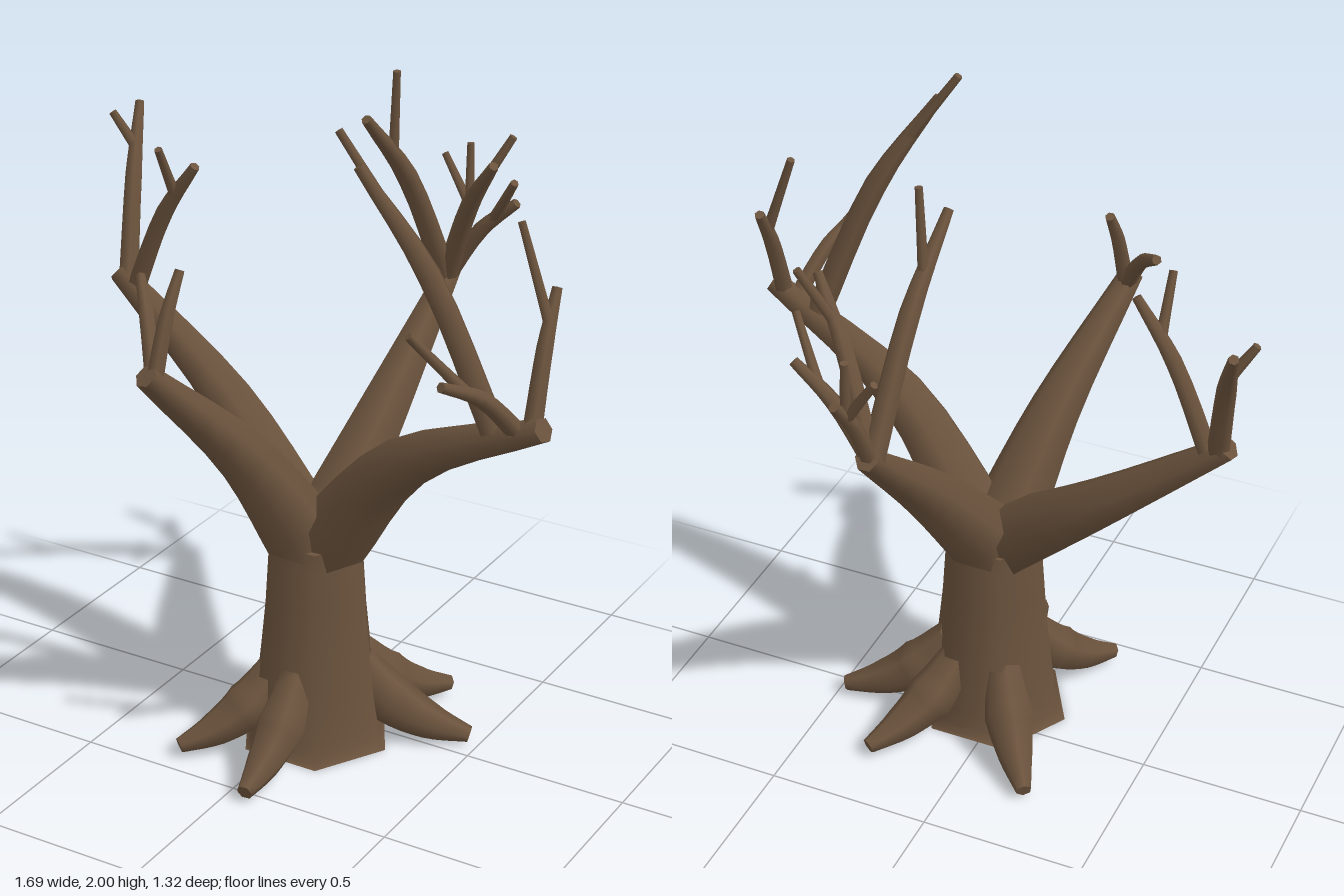
import * as THREE from 'three';

const SIDES = 6;
const vec = p => new THREE.Vector3(...p);

// Tapered limb along a curve through points: smooth sides, flat end caps
function limbGeometry(curve, radii) {
  const pos = [], index = [], spans = radii.length - 1, rows = spans * 4;
  const normal = new THREE.Vector3(1, 0, 0);
  for (let i = 0; i <= rows; i++) {
    const u = i / rows, c = curve.getPoint(u), t = curve.getTangent(u);
    normal.addScaledVector(t, -normal.dot(t)).normalize();
    const side = new THREE.Vector3().crossVectors(t, normal);
    const k = Math.min(Math.floor(u * spans), spans - 1);
    const r = THREE.MathUtils.lerp(radii[k], radii[k + 1], u * spans - k);
    for (let j = 0; j < SIDES; j++) {
      const a = j / SIDES * Math.PI * 2;
      const p = c.clone().addScaledVector(normal, r * Math.cos(a)).addScaledVector(side, r * Math.sin(a));
      pos.push(p.x, p.y, p.z);
    }
  }
  for (let i = 0; i < rows; i++) {
    for (let j = 0; j < SIDES; j++) {
      const a = i * SIDES + j, b = i * SIDES + (j + 1) % SIDES;
      index.push(a, b, b + SIDES, a, b + SIDES, a + SIDES);
    }
  }
  // Caps have their own vertices so the rims stay sharp
  for (const row of [0, rows]) {
    const base = pos.length / 3, from = row * SIDES * 3;
    pos.push(...pos.slice(from, from + SIDES * 3));
    for (let j = 1; j < SIDES - 1; j++) {
      if (row === 0) index.push(base, base + j + 1, base + j);
      else index.push(base, base + j, base + j + 1);
    }
  }
  const g = new THREE.BufferGeometry();
  g.setAttribute('position', new THREE.Float32BufferAttribute(pos, 3));
  g.setIndex(index);
  g.computeVertexNormals();
  return g;
}

export function createModel() {
  const tree = new THREE.Group();
  tree.name = 'bareTree';
  const bark = new THREE.MeshStandardMaterial({ color: 0x6b533d });
  bark.name = 'bark';

  const addLimb = (parent, name, points, radii) => {
    const curve = new THREE.CatmullRomCurve3(points);
    const mesh = new THREE.Mesh(limbGeometry(curve, radii), bark);
    mesh.name = name;
    parent.add(mesh);
    return curve;
  };

  // Trunk, six-sided and flared at the foot
  const foot = new THREE.Vector3(0.037, 0, 0.095);
  const crown = foot.clone().setY(0.66);
  addLimb(tree, 'trunk', [foot, crown], [0.238, 0.204, 0.172, 0.152]);

  // Roots leave the trunk steeply, then flatten and taper along the ground
  const addRoot = (x, z) => {
    const tip = new THREE.Vector3(x, 0, z);
    const at = (s, y) => foot.clone().lerp(tip, s).setY(y);
    addLimb(tree, 'root', [at(0.28, 0.25), at(0.5, 0.13), at(0.74, 0.068), at(1, 0.035)], [0.052, 0.078, 0.055, 0.024]);
  };
  addRoot(0.475, -0.06);
  addRoot(0.07, 0.55);
  addRoot(-0.23, 0.43);
  addRoot(-0.23, -0.29);
  addRoot(0.28, -0.3);

  // Twig arching upward from a bough, with straight shoots forking off it
  const addTwig = (group, bough, { tip, from = 0.96, shoots = [] }) => {
    const start = bough.getPoint(from), end = vec(tip), length = start.distanceTo(end);
    const bend = start.clone().lerp(end, 0.5);
    bend.y += 0.1 * length;
    const r = 0.019 + 0.025 * length;
    const twig = addLimb(group, 'twig', [start, bend, end], [r, r * 0.85, 0.015]);
    for (const s of shoots) addLimb(group, 'shoot', [twig.getPoint(0.68), vec(s)], [0.018, 0.012]);
  };

  // Bough from the crown through a middle point to its blunt end
  const addBough = (name, middle, end, twigs) => {
    const group = new THREE.Group();
    group.name = name;
    tree.add(group);
    const start = crown.clone().lerp(vec(end), 0.06).setY(0.65);
    const bough = addLimb(group, 'bough', [start, vec(middle), vec(end)], [0.118, 0.079, 0.036]);
    for (const twig of twigs) addTwig(group, bough, twig);
  };

  addBough('rightBough', [-0.33, 0.945, -0.03], [-0.725, 1.27, -0.05], [
    { tip: [-0.43, 1.66, -0.02], from: 0.93, shoots: [[-0.505, 1.72, 0.055]] },
    { tip: [-0.8, 1.72, -0.29], shoots: [[-0.83, 1.71, -0.19]] },
  ]);
  addBough('frontBough', [-0.055, 0.975, 0.33], [-0.17, 1.31, 0.635], [
    { tip: [-0.15, 1.57, 0.49] },
    { tip: [-0.32, 1.5, 0.43] },
  ]);
  addBough('leftBough', [0.38, 1.005, 0.183], [0.83, 1.235, 0.258], [
    { tip: [0.33, 1.91, 0.37], from: 0.84, shoots: [[0.265, 1.995, 0.36]] },
    { tip: [0.65, 1.41, 0.5], from: 0.92, shoots: [[0.57, 1.545, 0.53]] },
    { tip: [0.775, 1.57, 0.09], shoots: [[0.685, 1.75, 0.13]] },
  ]);
  addBough('backBough', [0.1, 0.975, -0.21], [0.135, 1.295, -0.53], [
    { tip: [0.08, 1.86, -0.11], shoots: [[0.115, 1.975, -0.22]] },
    { tip: [0.37, 1.71, -0.325], shoots: [[0.38, 1.77, -0.425]] },
    { tip: [0.355, 1.54, -0.51], shoots: [[0.39, 1.635, -0.42]] },
    { tip: [0.165, 1.53, -0.65], shoots: [[0.145, 1.655, -0.62], [0.06, 1.61, -0.62], [0.2, 1.53, -0.52]] },
  ]);
  return tree;
}
